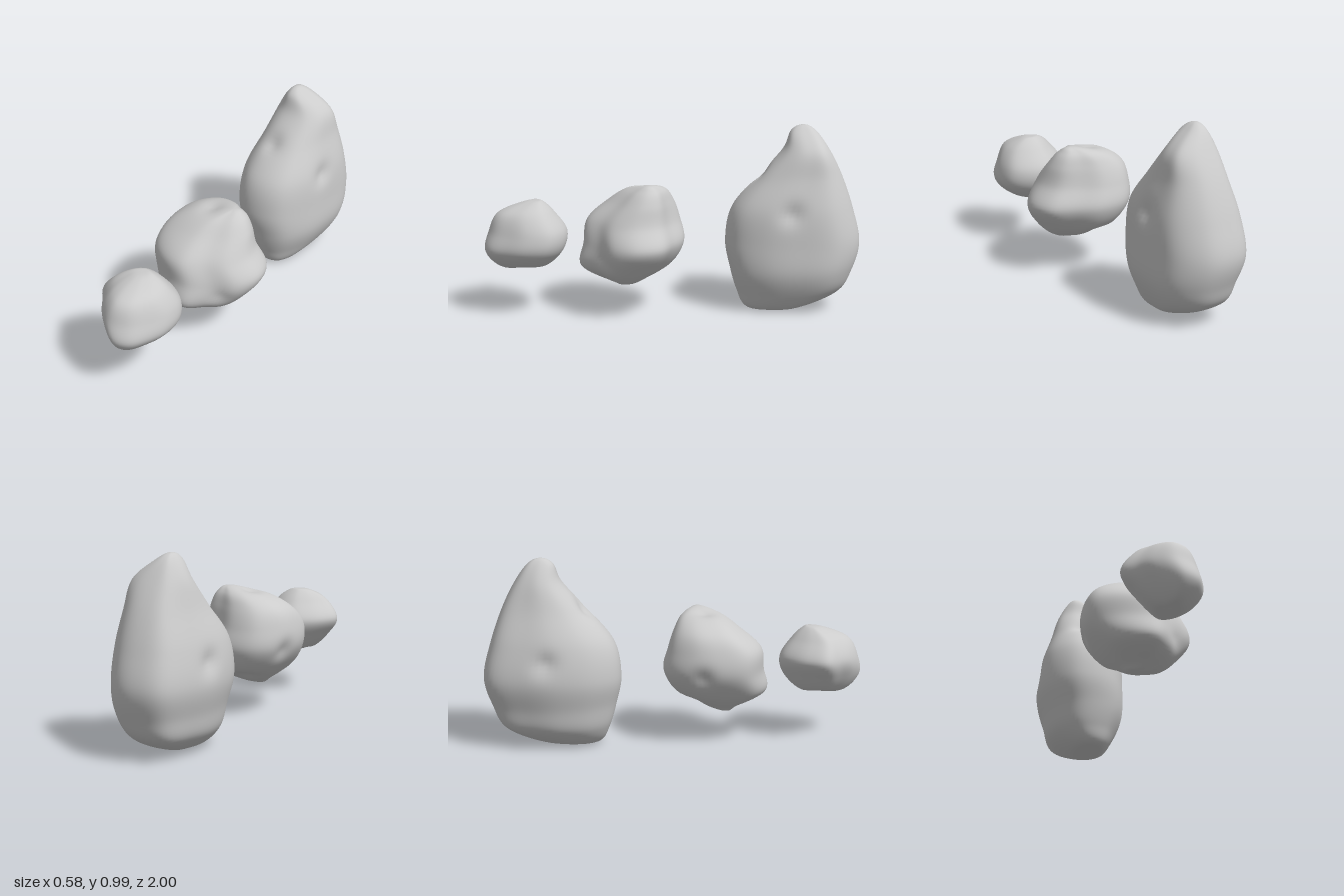
import * as THREE from 'three';
import { mergeVertices } from 'three/addons/utils/BufferGeometryUtils.js';

const COLUMNS = 72, STEPS = 8;
const DENT_RADIUS = 0.08, DENT_DEPTH = 0.024;

// Catmull-Rom blend of four equal-length lists
function blend(a, b, c, d, t) {
  return b.map((v, k) => v + 0.5 * t * (c[k] - a[k] + t * (2 * a[k] - 5 * v + 4 * c[k] - d[k]
    + t * (3 * (v - c[k]) + d[k] - a[k]))));
}

// Closed outline seen from above, from radii at equal angles (+x towards +z)
function smoothOutline(radii) {
  const points = radii.map((r, i) => {
    const angle = i / radii.length * Math.PI * 2;
    return new THREE.Vector3(r * Math.cos(angle), 0, r * Math.sin(angle));
  });
  return new THREE.CatmullRomCurve3(points, true).getSpacedPoints(COLUMNS).slice(0, COLUMNS);
}

// Smooth stack of rows; mirrored end rows round off the two poles
function smoothRows(rows) {
  const flip = ([y, x0, x1, z0, z1]) => [y, x1, x0, z1, z0];
  const n = rows.length;
  const all = [flip(rows[1]), ...rows, flip(rows[n - 2])];
  const out = [];
  for (let i = 0; i < n - 1; i++) {
    for (let s = 0; s < STEPS; s++) out.push(blend(all[i], all[i + 1], all[i + 2], all[i + 3], s / STEPS));
  }
  out.push(rows[n - 1]);
  return out;
}

// bottom, top: poles [x, y, z]; rows: extents [y, x0, x1, z0, z1]; dents: centres [x, y, z]
function makeRock(name, { radii, bottom, rows, top, dents }) {
  const pole = ([x, y, z]) => [y, x, x, z, z];
  const rings = smoothRows([pole(bottom), ...rows, pole(top)]);
  const outline = smoothOutline(radii);
  const box = new THREE.Box3().setFromPoints(outline);
  const size = box.getSize(new THREE.Vector3());
  const widest = rows.reduce((a, b) => (b[4] - b[3] > a[4] - a[3] ? b : a));
  const center = new THREE.Vector3((widest[1] + widest[2]) / 2, (bottom[1] + top[1]) / 2, (widest[3] + widest[4]) / 2);
  const dentCenters = dents.map((d) => new THREE.Vector3(...d));

  const positions = [], index = [];
  rings.forEach(([y, x0, x1, z0, z1], i) => {
    outline.forEach((o, j) => {
      const p = new THREE.Vector3(
        x0 + (x1 - x0) * (o.x - box.min.x) / size.x, y,
        z0 + (z1 - z0) * (o.z - box.min.z) / size.z);
      // push dents in towards the middle of the rock
      let push = 0;
      for (const d of dentCenters) push += DENT_DEPTH * Math.exp(-2 * p.distanceToSquared(d) / DENT_RADIUS ** 2);
      p.addScaledVector(center.clone().sub(p).normalize(), push);
      positions.push(p.x, p.y, p.z);
      if (i < rings.length - 1) {
        const a = i * COLUMNS + j, b = i * COLUMNS + (j + 1) % COLUMNS;
        index.push(a, a + COLUMNS, b, b, a + COLUMNS, b + COLUMNS);
      }
    });
  });
  const open = new THREE.BufferGeometry();
  open.setAttribute('position', new THREE.Float32BufferAttribute(positions, 3));
  open.setIndex(index);
  const geometry = mergeVertices(open, 1e-5); // closes the poles
  geometry.computeVertexNormals();
  const mesh = new THREE.Mesh(geometry, new THREE.MeshStandardMaterial({ color: 0xcccccc }));
  mesh.name = name;
  return mesh;
}

export function createModel() {
  const group = new THREE.Group();
  group.name = 'rocks';

  // tall boulder at the back
  group.add(makeRock('largeRock', {
    radii: [.95, .94, .98, .98, 1.03, 1.02, .96, .93, 1.03, 1, 1.06, 1.1],
    bottom: [-.03, 0, -.52],
    rows: [
      [.01, -.12, .06, -.68, -.39], [.1, -.22, .14, -.885, -.34], [.22, -.255, .19, -.955, -.305],
      [.37, -.29, .195, -.995, -.28], [.55, -.27, .185, -.955, -.315], [.72, -.21, .145, -.895, -.455],
      [.86, -.165, .11, -.825, -.58], [.96, -.11, -.005, -.755, -.625]],
    top: [-.065, .99, -.69],
    dents: [[-.08, .72, -.48], [-.27, .47, -.68], [.17, .55, -.6]],
  }));

  // round boulder in the middle
  group.add(makeRock('middleRock', {
    radii: [.95, .87, .78, .95, 1, 1.06, 1, 1.04, 1.07, .965, .85, .96],
    bottom: [-.04, .15, .28],
    rows: [
      [.18, -.1, .11, .17, .35], [.26, -.2, .21, .02, .495], [.38, -.28, .288, -.055, .48],
      [.5, -.28, .225, -.035, .46], [.6, -.23, .19, 0, .35], [.67, -.1, .145, .05, .25]],
    top: [.08, .7, .14],
    dents: [[-.03, .66, .16], [-.26, .38, .12], [.17, .3, .38], [-.05, .24, .1]],
  }));

  // small stone at the front
  group.add(makeRock('smallRock', {
    radii: [1, .91, .95, .95, .82, .78, .95, .87, .87, .97, 1.03, 1.1],
    bottom: [-.05, .24, .79],
    rows: [
      [.255, -.11, .03, .68, .92], [.34, -.2, .13, .59, .998], [.44, -.267, .135, .565, .98],
      [.54, -.2, .085, .63, .93], [.595, -.12, .01, .685, .8]],
    top: [-.05, .605, .72],
    dents: [[-.04, .25, .78]],
  }));

  return group;
}
